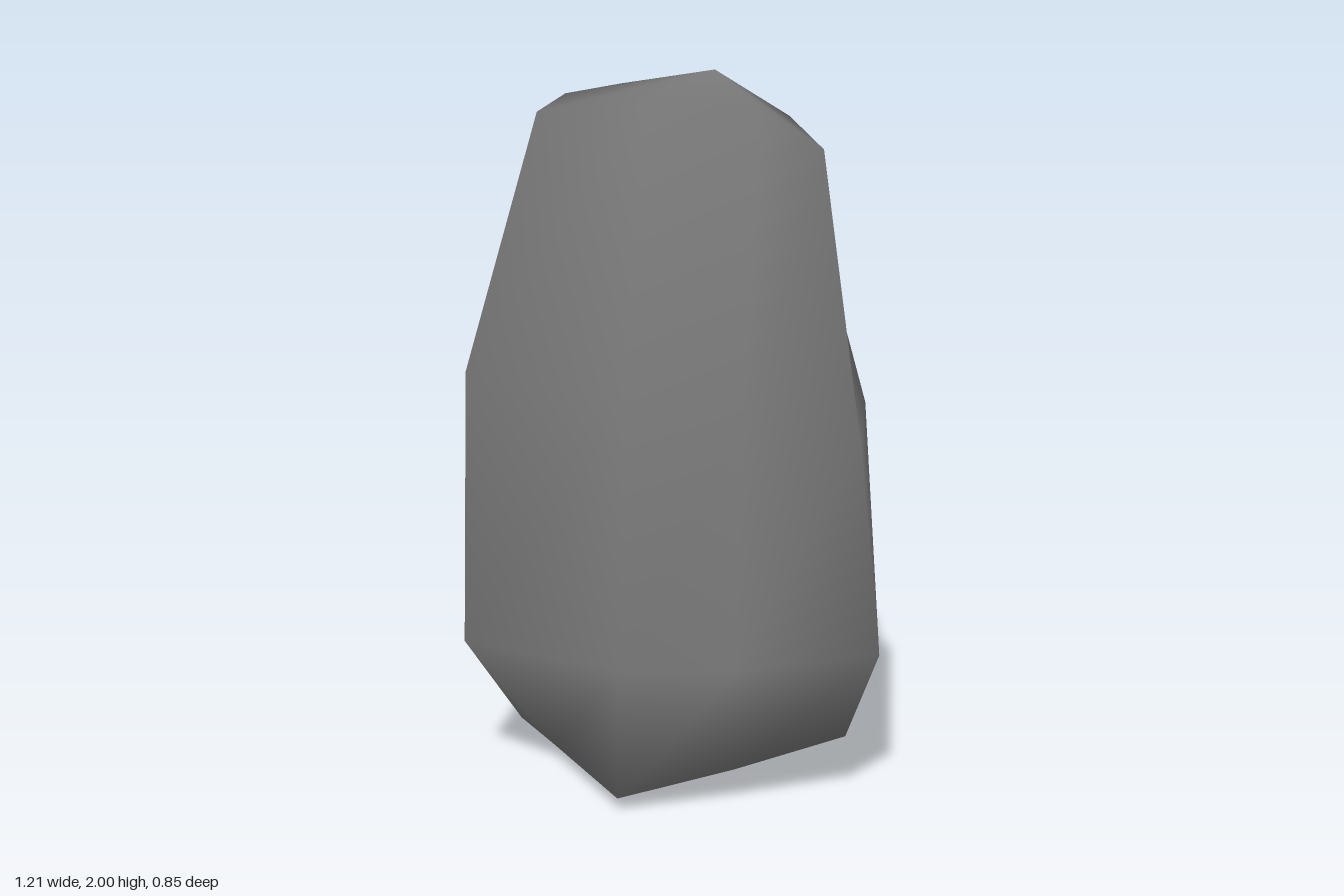
import * as THREE from 'three';

// Rings from bottom to top, eight corners each, starting at the -x side and
// running along the front to +x, then round the back.
const RINGS = [
  [[-0.53, 0.05, -0.02], [-0.35, 0.045, 0.13], [-0.02, 0.04, 0.42], [0.25, 0.1, 0.24],
   [0.51, 0.17, 0.05], [0.34, 0.13, -0.1], [-0.04, 0.04, -0.25], [-0.4, 0, -0.29]],
  [[-0.605, 0.48, 0], [-0.53, 0.4, 0.33], [-0.02, 0.4, 0.4], [0.28, 0.41, 0.3],
   [0.605, 0.42, 0.05], [0.45, 0.42, -0.24], [0, 0.42, -0.38], [-0.5, 0.45, -0.38]],
  [[-0.54, 1.2, 0], [-0.53, 1.17, 0.29], [-0.02, 1.15, 0.36], [0.28, 1.1, 0.26],
   [0.535, 1.0, 0.03], [0.43, 1.04, -0.31], [-0.01, 1.15, -0.41], [-0.5, 1.23, -0.425]],
  [[-0.33, 1.92, 0.05], [-0.33, 1.89, 0.23], [0, 1.94, 0.255], [0.28, 1.91, 0.14],
   [0.41, 1.8, 0.01], [0.27, 1.87, -0.1], [0.06, 1.94, -0.11], [-0.25, 1.93, -0.15]],
];

// Smooth-shaded stone skinned over the rings, closed by a fan at each end
function stoneGeometry() {
  const sides = RINGS[0].length;
  const points = RINGS.flat(2);
  const base = RINGS.length * sides;
  points.push(-0.1, 0.05, 0.04, 0.1, 2, 0.02);
  const index = [];
  for (let i = 0; i < sides; i++) {
    const j = (i + 1) % sides;
    for (let r = 0; r < RINGS.length - 1; r++) {
      const a = r * sides + i, b = r * sides + j;
      index.push(a, b, b + sides, a, b + sides, a + sides);
    }
    const top = base - sides;
    index.push(base, j, i, base + 1, top + i, top + j);
  }
  const geometry = new THREE.BufferGeometry();
  geometry.setAttribute('position', new THREE.Float32BufferAttribute(points, 3));
  geometry.setIndex(index);
  geometry.computeVertexNormals();
  return geometry;
}

export function createModel() {
  const stoneGrey = new THREE.MeshStandardMaterial({ color: 0x7c7c7c });
  stoneGrey.name = 'stoneGrey';

  const stone = new THREE.Mesh(stoneGeometry(), stoneGrey);
  stone.name = 'standingStone';

  const model = new THREE.Group();
  model.name = 'rock';
  model.add(stone);
  return model;
}
